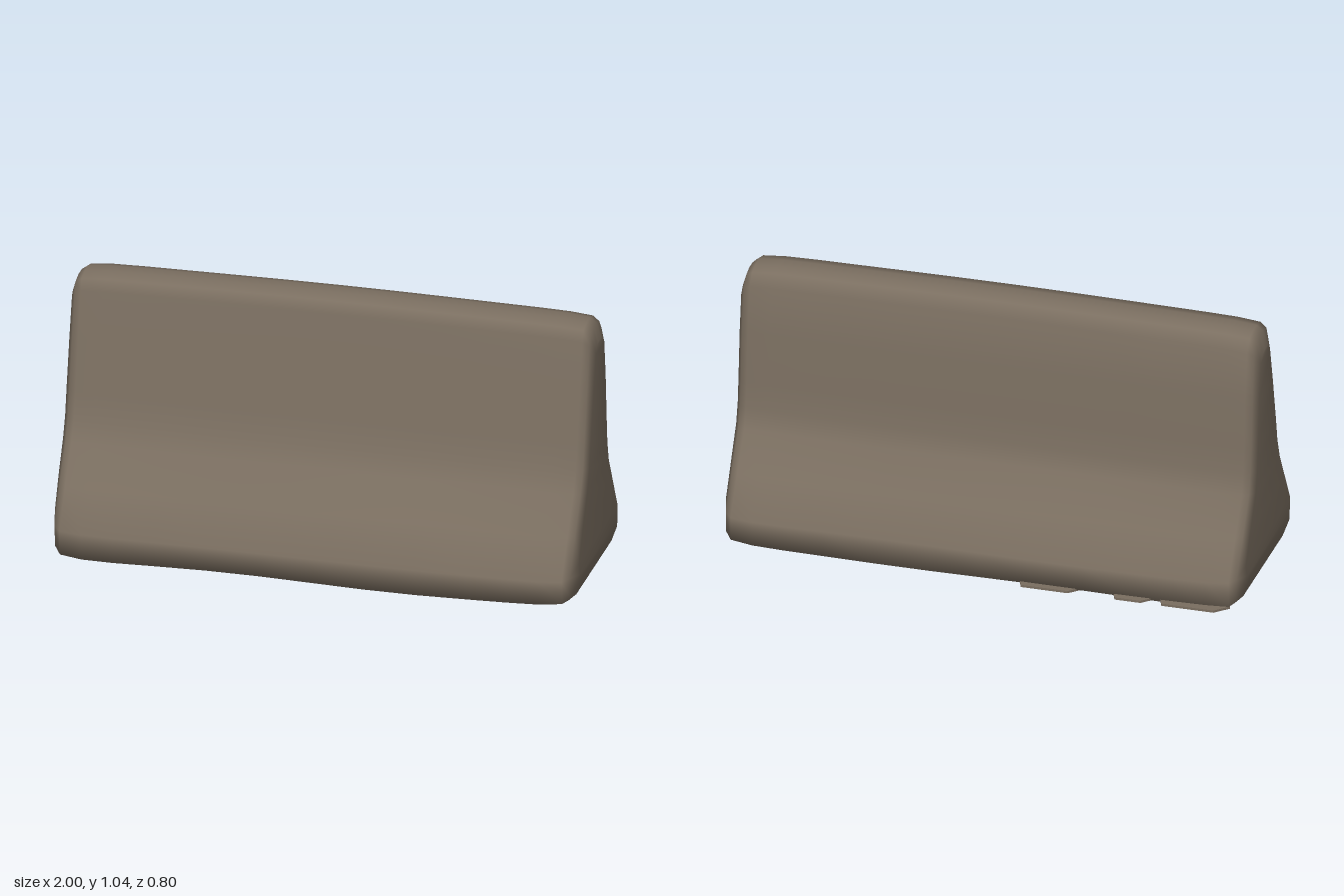
import * as THREE from 'three';

// Each row of the cross-section: [y, front z, back z], from the ground up
const FULL = [
  [0.01, 0.28, -0.27], [0.036, 0.385, -0.37], [0.135, 0.395, -0.37], [0.28, 0.305, -0.28],
  [0.42, 0.215, -0.19], [0.5, 0.178, -0.172], [0.6, 0.157, -0.16], [0.8, 0.117, -0.145],
  [0.985, 0.08, -0.121], [1.03, 0.065, -0.085], [1.042, 0.01, -0.04],
];
const END = [
  [0.11, 0.22, -0.21], [0.13, 0.27, -0.26], [0.18, 0.285, -0.275], [0.3, 0.23, -0.21],
  [0.42, 0.165, -0.145], [0.5, 0.135, -0.125], [0.6, 0.115, -0.115], [0.78, 0.075, -0.1],
  [0.92, 0.04, -0.08], [0.945, 0.03, -0.06], [0.955, 0.005, -0.03],
];
// Stations along the length: [x, blend from full section to end section]
const half = [[0.2, 0], [0.4, 0], [0.6, 0], [0.75, 0], [0.87, 0.02], [0.955, 0.1], [0.98, 0.32], [0.998, 1]];
const STATIONS = [...half.map(([x, t]) => [-x, t]).reverse(), [0, 0], ...half];

function bodyGeometry() {
  const rows = FULL.length, ring = rows * 2, pos = [], index = [];
  for (const [x, t] of STATIONS) {
    const mix = (r, k) => THREE.MathUtils.lerp(FULL[r][k], END[r][k], t);
    const wave = (1 - t) * 0.004;
    const point = (r, k) => {
      const lift = r > 7 ? wave * Math.cos(x * 3) : r < 2 ? -wave * Math.sin(x * 5) : 0;
      pos.push(x, mix(r, 0) + lift, mix(r, k) + (r < 4 ? wave * Math.sin(x * 4.5) : 0));
    };
    for (let r = 0; r < rows; r++) point(r, 1);
    for (let r = rows - 1; r >= 0; r--) point(r, 2);
  }
  // Long sides, top and underside
  for (let s = 0; s < STATIONS.length - 1; s++) {
    for (let i = 0; i < ring; i++) {
      const a = s * ring + i, b = s * ring + (i + 1) % ring;
      index.push(a, a + ring, b, b, a + ring, b + ring);
    }
  }
  // End caps, joining front to back row by row
  const last = (STATIONS.length - 1) * ring;
  for (let r = 0; r < rows - 1; r++) {
    const f = r, f2 = r + 1, b = ring - 1 - r, b2 = ring - 2 - r;
    index.push(f, f2, b, b, f2, b2);
    index.push(last + f, last + b, last + f2, last + b, last + b2, last + f2);
  }
  const geo = new THREE.BufferGeometry();
  geo.setAttribute('position', new THREE.Float32BufferAttribute(pos, 3));
  geo.setIndex(index);
  geo.computeVertexNormals();
  return geo;
}

export function createModel() {
  const group = new THREE.Group();
  group.name = 'roadBarrier';
  const concrete = new THREE.MeshStandardMaterial({ color: 0x7a6e60 });
  concrete.name = 'weatheredConcrete';

  const body = new THREE.Mesh(bodyGeometry(), concrete);
  body.name = 'barrierBody';
  group.add(body);

  // Thin broken lips along the rear foot
  for (const [x0, x1] of [[-0.96, -0.69], [-0.68, -0.51], [-0.4, -0.15]]) {
    const lip = new THREE.Shape([
      new THREE.Vector2(x0, 0.35), new THREE.Vector2(x1, 0.35),
      new THREE.Vector2(x1 - 0.02, 0.4), new THREE.Vector2(x0 + 0.05, 0.4),
    ]);
    const geo = new THREE.ExtrudeGeometry(lip, { depth: 0.009, bevelEnabled: false });
    geo.rotateX(-Math.PI / 2);
    const mesh = new THREE.Mesh(geo, concrete);
    mesh.position.y = 0.034;
    mesh.name = 'rearFootLip';
    group.add(mesh);
  }
  return group;
}
